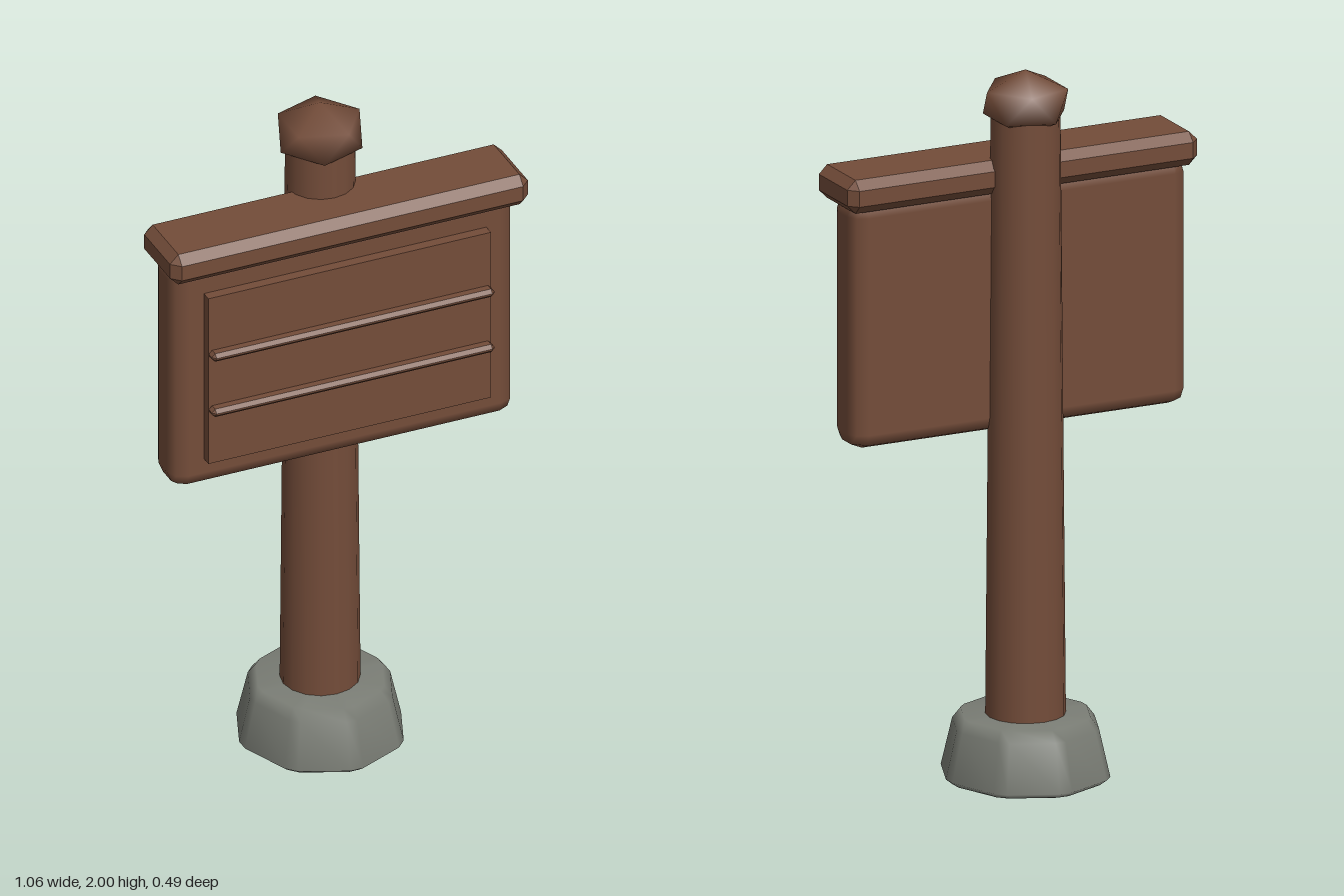
import * as THREE from 'three';
import { mergeVertices } from 'three/addons/utils/BufferGeometryUtils.js';
import { RoundedBoxGeometry } from 'three/addons/geometries/RoundedBoxGeometry.js';
import { ConvexGeometry } from 'three/addons/geometries/ConvexGeometry.js';

// Share vertices so the low-poly form is shaded smoothly
function smooth(geometry) {
  geometry.deleteAttribute('normal');
  geometry.deleteAttribute('uv');
  const merged = mergeVertices(geometry, 1e-4);
  merged.computeVertexNormals();
  return merged;
}

// Box with every edge and corner cut by c
function chamferBox(w, h, d, c) {
  const points = [];
  for (const sx of [-1, 1]) for (const sy of [-1, 1]) for (const sz of [-1, 1]) {
    for (let axis = 0; axis < 3; axis++) {
      const half = [w / 2, h / 2, d / 2].map((v, i) => (i === axis ? v : v - c));
      points.push(new THREE.Vector3(sx * half[0], sy * half[1], sz * half[2]));
    }
  }
  return new ConvexGeometry(points);
}

// Eight-sided stone with narrow cut corners
function stoneGeometry() {
  const profile = [[0, 0], [0.225, 0], [0.245, 0.015], [0.212, 0.15], [0.188, 0.18], [0, 0.18]]
    .map(([r, y]) => new THREE.Vector2(r, y));
  const geometry = new THREE.LatheGeometry(profile, 16);
  const pos = geometry.attributes.position;
  for (let i = 0; i < pos.count; i++) {
    const k = Math.floor(i / profile.length);
    const r = Math.hypot(pos.getX(i), pos.getZ(i));
    const a = Math.floor(k / 2) * Math.PI / 4 + (k % 2 ? 0.08 : -0.08);
    pos.setXYZ(i, Math.sin(a) * r * 0.95, pos.getY(i), Math.cos(a) * r);
  }
  return smooth(geometry);
}

export function createModel() {
  const model = new THREE.Group();
  model.name = 'signpost';

  const wood = new THREE.MeshStandardMaterial({ color: 0x734c39 });
  wood.name = 'brown wood';
  const stone = new THREE.MeshStandardMaterial({ color: 0x7a7d75 });
  stone.name = 'grey stone';

  function add(name, geometry, material, x = 0, y = 0, z = 0) {
    const mesh = new THREE.Mesh(geometry, material);
    mesh.name = name;
    mesh.position.set(x, y, z);
    model.add(mesh);
    return mesh;
  }

  // Base and tapered post
  add('stoneBase', stoneGeometry(), stone);
  add('post', new THREE.CylinderGeometry(0.095, 0.11, 1.75, 16), wood, 0, 1.025, 0);

  // Faceted cap: icosahedron standing on a vertex, slightly flattened
  const cap = new THREE.IcosahedronGeometry(1, 0);
  cap.rotateZ(Math.atan(2 / (1 + Math.sqrt(5))));
  cap.rotateY(Math.PI);
  cap.scale(0.131, 0.09, 0.131);
  add('postCap', smooth(cap), wood, 0, 1.91, 0);

  // Sign board with its roof and raised face
  add('board', new RoundedBoxGeometry(1.02, 0.705, 0.145, 1, 0.045), wood, 0, 1.3275, 0.0925);
  add('roof', chamferBox(1.064, 0.095, 0.22, 0.025), wood, 0, 1.7025, 0.105);
  add('facePlate', new THREE.BoxGeometry(0.84, 0.525, 0.04), wood, 0, 1.3275, 0.175);

  // Horizontal strips across the face
  for (const [name, y] of [['upperStrip', 1.413], ['lowerStrip', 1.237]]) {
    add(name, chamferBox(0.84, 0.025, 0.04, 0.01), wood, 0, y, 0.208);
  }

  return model;
}
